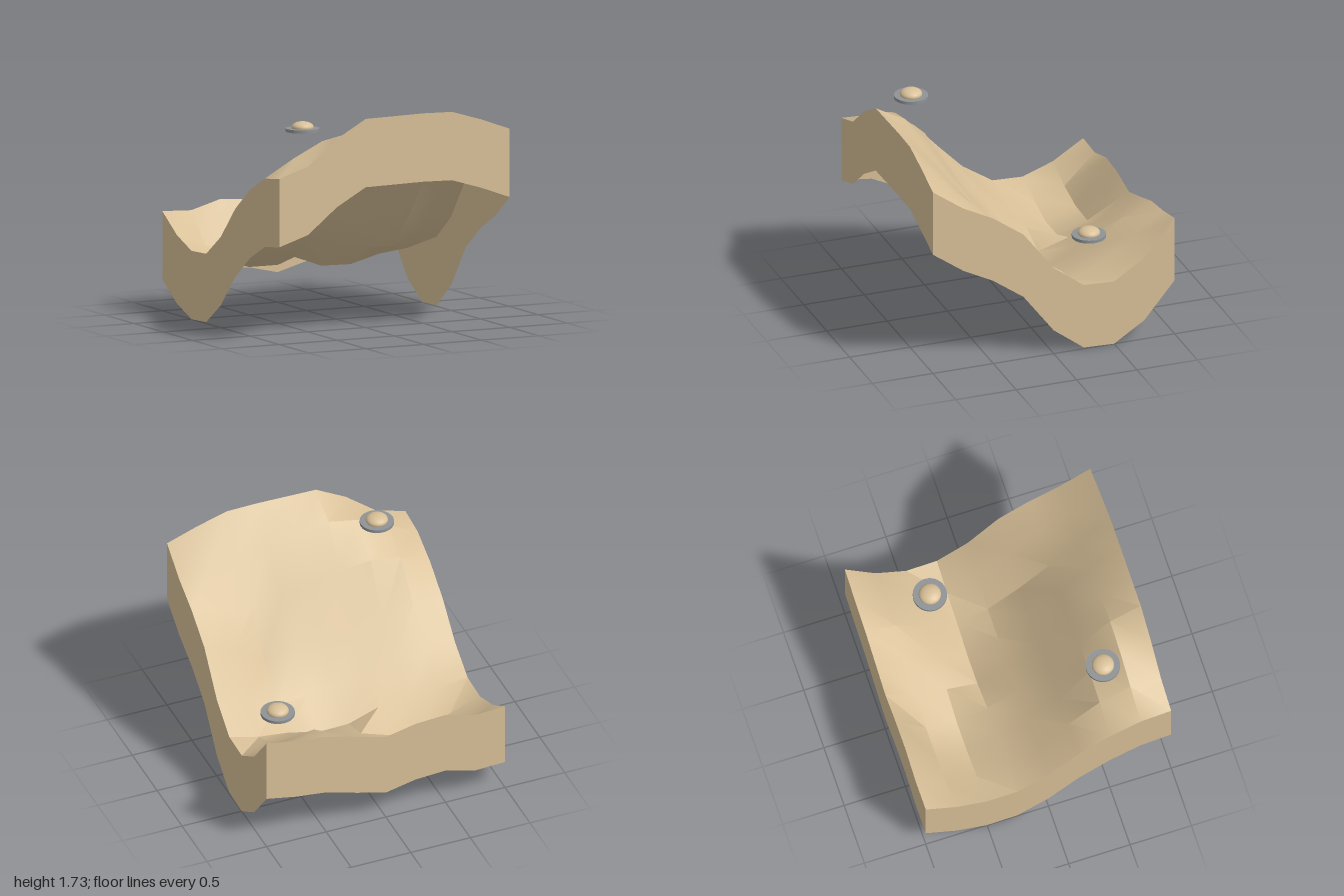
import * as THREE from 'three';
import { toCreasedNormals } from 'three/addons/utils/BufferGeometryUtils.js';

// Ground heights every 0.25: rows run from z = -1 to z = 1, columns from x = -1 to x = 1
const HEIGHTS = [
  [0.785, 0.775, 0.845, 0.83, 0.775, 0.845, 0.92, 0.95, 1.0],
  [0.63, 0.53, 0.47, 0.46, 0.57, 0.7, 0.82, 0.78, 0.7],
  [0.54, 0.45, 0.38, 0.38, 0.47, 0.53, 0.605, 0.59, 0.54],
  [0.55, 0.53, 0.49, 0.48, 0.39, 0.385, 0.45, 0.48, 0.55],
  [0.715, 0.72, 0.67, 0.64, 0.58, 0.55, 0.55, 0.68, 0.74],
  [0.97, 1.0, 0.9, 0.87, 0.85, 0.88, 0.8, 0.96, 1.07],
  [1.15, 1.27, 1.31, 1.28, 1.22, 1.18, 1.1, 1.19, 1.25],
  [1.27, 1.41, 1.53, 1.58, 1.54, 1.5, 1.46, 1.43, 1.38],
  [1.3, 1.38, 1.58, 1.72, 1.725, 1.73, 1.725, 1.65, 1.56],
];
const SKIRT = 0.535;
const heightAt = (x, z) => HEIGHTS[Math.round((z + 1) * 4)][Math.round((x + 1) * 4)];

// Lift every vertex onto the ground, keeping its offset below it
function drape(geometry, offset) {
  const p = geometry.attributes.position;
  for (let i = 0; i < p.count; i++) {
    p.setY(i, heightAt(p.getX(i), p.getZ(i)) + offset(p.getY(i)));
  }
  return geometry;
}

export function createModel() {
  const model = new THREE.Group();
  const sand = new THREE.MeshStandardMaterial({ color: 0xd8c098, side: THREE.DoubleSide });
  sand.name = 'sand';
  const grey = new THREE.MeshStandardMaterial({ color: 0x8f9396 });
  grey.name = 'grey';

  const add = (parent, name, geometry, material) => {
    const mesh = new THREE.Mesh(geometry, material);
    mesh.name = name;
    parent.add(mesh);
    return mesh;
  };

  // Rolling ground surface, open underneath
  const ground = drape(new THREE.PlaneGeometry(2, 2, 8, 8).rotateX(-Math.PI / 2), () => 0);
  add(model, 'ground', toCreasedNormals(ground, 0.5), sand);

  // Four thin walls hanging from the ground's edges
  ['frontWall', 'leftWall', 'backWall', 'rightWall'].forEach((name, i) => {
    const wall = new THREE.PlaneGeometry(2, SKIRT, 8, 1).translate(0, 0, 1).rotateY(i * Math.PI / 2);
    add(model, name, drape(wall, (y) => (y > 0 ? 0 : -SKIRT)), sand);
  });

  // Two hovering discs, each with a domed centre
  const disc = toCreasedNormals(new THREE.CylinderGeometry(0.133, 0.133, 0.025, 32), 0.6);
  const dome = new THREE.SphereGeometry(0.087, 32, 16).scale(1, 0.52, 1);
  [['frontSaucer', -0.585, 1.603, 0.581], ['backSaucer', 0.664, 0.803, -0.418]].forEach(([name, x, y, z]) => {
    const saucer = new THREE.Group();
    saucer.name = name;
    saucer.position.set(x, y, z);
    add(saucer, 'disc', disc, grey);
    add(saucer, 'dome', dome, sand).position.y = 0.02;
    model.add(saucer);
  });
  return model;
}
